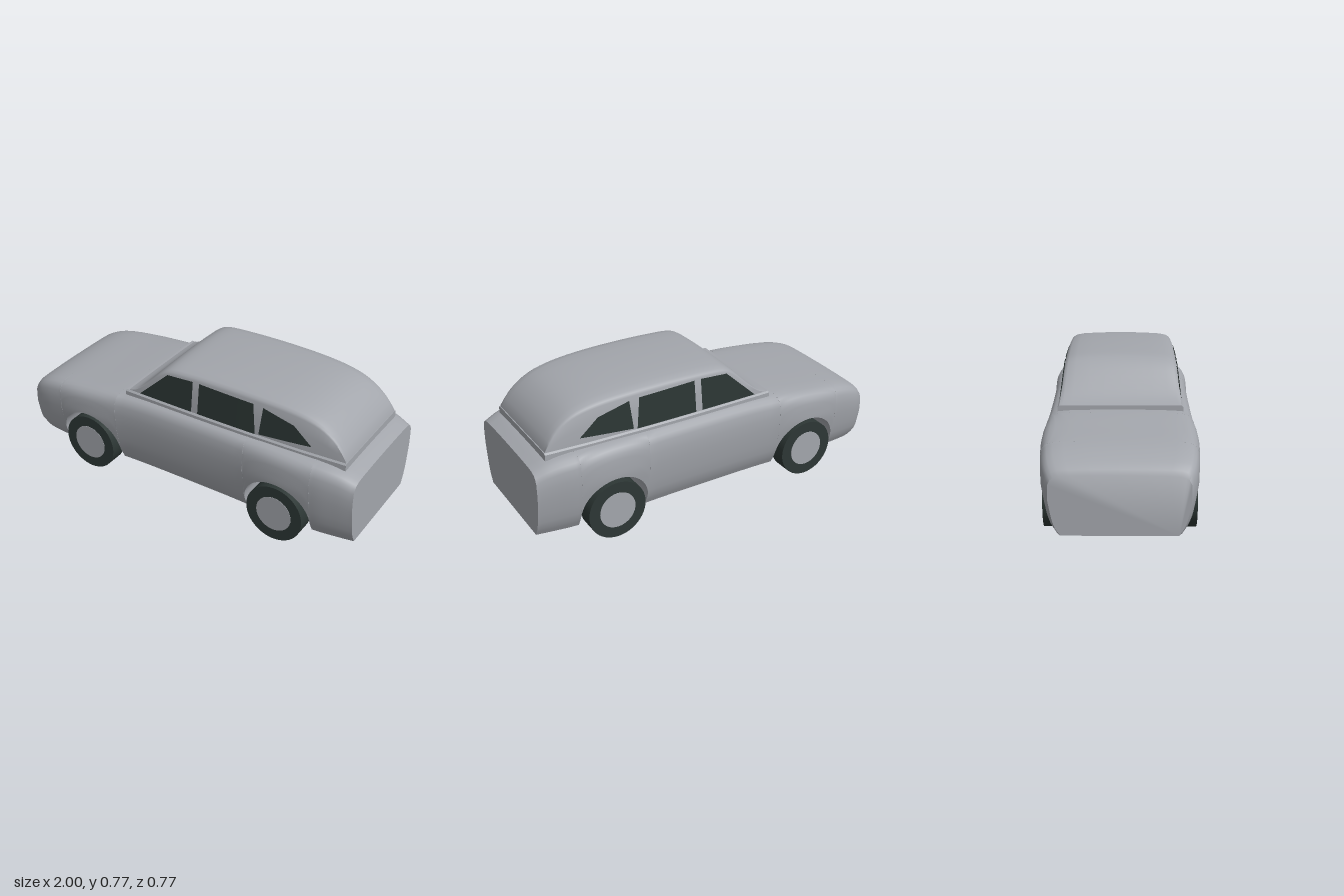
import * as THREE from 'three';
import { toCreasedNormals } from 'three/addons/utils/BufferGeometryUtils.js';

const paint = new THREE.MeshStandardMaterial({ name: 'greyPaint', color: 0xa3a6ac });
const rubber = new THREE.MeshStandardMaterial({ name: 'darkRubber', color: 0x2d3735 });
const glass = new THREE.MeshStandardMaterial({ name: 'darkGlass', color: 0x2a3432, side: THREE.DoubleSide });

// Smooth interpolation through [key, value] pairs
function curve(table, x) {
  const n = table.length;
  if (x <= table[0][0]) return table[0][1];
  if (x >= table[n - 1][0]) return table[n - 1][1];
  let i = 0;
  while (x > table[i + 1][0]) i++;
  const slope = (k) => {
    const a = table[Math.max(k - 1, 0)], b = table[Math.min(k + 1, n - 1)];
    return (b[1] - a[1]) / (b[0] - a[0]);
  };
  const [x0, y0] = table[i], [x1, y1] = table[i + 1];
  const d = x1 - x0, t = (x - x0) / d, u = 1 - t;
  return u * u * (1 + 2 * t) * y0 + t * t * (3 - 2 * t) * y1
    + d * t * u * (u * slope(i) - t * slope(i + 1));
}

// Skin over mirrored cross-sections: { x, half: [[z, y], ...] } from the bottom edge to the top centre
function loft(sections, crease) {
  const rings = sections.map(({ x, half }) => {
    const right = half.map(([z, y]) => new THREE.Vector3(x, y, z));
    const left = half.slice(0, -1).reverse().map(([z, y]) => new THREE.Vector3(x, y, -z));
    return [...right, ...left];
  });
  const pos = [];
  const tri = (a, b, c) => {
    if (new THREE.Triangle(a, b, c).getArea() > 1e-7) for (const p of [a, b, c]) pos.push(p.x, p.y, p.z);
  };
  const n = rings[0].length;
  for (let i = 0; i < rings.length - 1; i++) {
    for (let j = 0; j < n; j++) {
      const k = (j + 1) % n, p = rings[i], q = rings[i + 1];
      tri(p[j], q[j], q[k]);
      tri(p[j], q[k], p[k]);
    }
  }
  const first = rings[0], last = rings[rings.length - 1];
  for (let j = 1; j < n - 1; j++) {
    tri(first[0], first[j], first[j + 1]);
    tri(last[0], last[j + 1], last[j]);
  }
  const geo = new THREE.BufferGeometry();
  geo.setAttribute('position', new THREE.Float32BufferAttribute(pos, 3));
  return toCreasedNormals(geo, crease);
}

function addMesh(parent, name, geo, mat) {
  const mesh = new THREE.Mesh(geo, mat);
  mesh.name = name;
  parent.add(mesh);
  return mesh;
}

const AXLE_X = 0.59, AXLE_Y = 0.16, ARCH_R = 0.19, FLOOR = 0.1;

// Body: top line, plan width and side shape
const bodyTop = [[-1, 0.39], [-0.97, 0.425], [-0.9, 0.462], [-0.8, 0.487], [-0.6, 0.51], [-0.4, 0.53],
  [-0.2, 0.54], [0, 0.542], [0.4, 0.542], [0.7, 0.536], [0.85, 0.525], [0.93, 0.508], [1, 0.48]];
const bodyWidth = [[-1, 0.33], [-0.95, 0.355], [-0.85, 0.372], [-0.6, 0.385], [-0.3, 0.372], [0, 0.37],
  [0.3, 0.373], [0.6, 0.385], [0.8, 0.375], [0.92, 0.355], [1, 0.338]];
const bodySide = [[0, 0.83], [0.06, 0.865], [0.12, 0.9], [0.22, 0.935], [0.35, 0.962], [0.58, 1], [0.72, 1.002],
  [0.85, 0.995], [0.92, 0.965], [0.955, 0.92], [0.98, 0.84], [0.99, 0.7], [0.997, 0.4], [1, 0]];

function bodySection(x, bottom) {
  const H = curve(bodyTop, x), W = curve(bodyWidth, x);
  const s0 = (bottom - FLOOR) / (H - FLOOR);
  const half = bodySide.map(([key]) => {
    const s = s0 + (1 - s0) * key;
    return [key === 1 ? 0 : W * curve(bodySide, s), FLOOR + s * (H - FLOOR)];
  });
  return { x, half };
}

function bodyGeometry() {
  const sections = [];
  const span = (a, b, n) => {
    for (let i = 0; i <= n; i++) sections.push(bodySection(a + (b - a) * i / n, FLOOR));
  };
  // Wheel arch runs right through the body
  const arch = (cx) => {
    for (let i = 0; i <= 24; i++) {
      const a = Math.PI * (1 - i / 24);
      sections.push(bodySection(cx + ARCH_R * Math.cos(a), AXLE_Y + ARCH_R * Math.sin(a)));
    }
  };
  span(-1, -AXLE_X - ARCH_R, 12);
  arch(-AXLE_X);
  span(-AXLE_X + ARCH_R, AXLE_X - ARCH_R, 16);
  arch(AXLE_X);
  span(AXLE_X + ARCH_R, 1, 12);
  return loft(sections, 0.7);
}

// Cabin: roof line and leaning side walls
const BELT = 0.54;
const roofLine = [[-0.35, 0.552], [-0.3, 0.573], [-0.25, 0.617], [-0.2, 0.67], [-0.15, 0.722], [-0.1, 0.752],
  [0, 0.765], [0.25, 0.772], [0.5, 0.766], [0.65, 0.75], [0.75, 0.722], [0.82, 0.68], [0.88, 0.62], [0.92, 0.55]];
const beltWidth = [[-0.36, 0.312], [0, 0.316], [0.4, 0.314], [0.65, 0.303], [0.8, 0.29], [0.92, 0.278]];
const sideZ = (x, y) => curve(beltWidth, x) - 0.12 * (y - BELT);

function cabinGeometry() {
  const sections = [];
  for (let i = 0; i <= 50; i++) {
    const x = -0.35 + 1.27 * i / 50;
    const h = curve(roofLine, x) - BELT;
    const at = (f, k) => [sideZ(x, BELT + f * h) * k, BELT + f * h];
    sections.push({ x, half: [[sideZ(x, BELT), 0.5], at(0, 1), at(0.45, 1), at(0.83, 1), at(0.89, 0.985),
      at(0.93, 0.94), at(0.965, 0.8), at(0.985, 0.55), at(0.997, 0.28), at(1, 0)] });
  }
  return loft(sections, 0.75);
}

// Thin ledge round the foot of the cabin
function ledgeGeometry() {
  const sections = [];
  for (let i = 0; i <= 24; i++) {
    const x = -0.36 + 1.285 * i / 24;
    const z = curve(beltWidth, x) + 0.008;
    const top = x < 0.5 ? 0.553 : 0.553 - 0.02 * (x - 0.5);
    sections.push({ x, half: [[z, 0.505], [z, top - 0.008], [z - 0.008, top], [0, top]] });
  }
  return loft(sections, 0.6);
}

// Window pane: four [x, y] corners laid on the cabin side
function paneGeometry(corners, side) {
  const [bl, br, tr, tl] = corners;
  const geo = new THREE.PlaneGeometry(1, 1, 8, 4);
  const p = geo.attributes.position;
  const mix = THREE.MathUtils.lerp;
  for (let i = 0; i < p.count; i++) {
    const u = p.getX(i) + 0.5, v = p.getY(i) + 0.5;
    const x = mix(mix(bl[0], br[0], u), mix(tl[0], tr[0], u), v);
    const y = mix(mix(bl[1], br[1], u), mix(tl[1], tr[1], u), v);
    p.setXYZ(i, x, y, side * (sideZ(x, y) + 0.005));
  }
  if (side < 0) geo.index.array.reverse();
  geo.computeVertexNormals();
  return geo;
}

const panes = {
  frontWindow: [[-0.27, 0.557], [0.056, 0.557], [0.056, 0.726], [-0.1, 0.716]],
  middleWindow: [[0.094, 0.557], [0.435, 0.557], [0.412, 0.717], [0.094, 0.726]],
  rearWindow: [[0.455, 0.562], [0.742, 0.582], [0.64, 0.668], [0.468, 0.712]],
};

function makeWheel(name, x, z) {
  const wheel = new THREE.Group();
  wheel.name = name;
  addMesh(wheel, 'tyre', new THREE.CylinderGeometry(0.16, 0.16, 0.1, 48), rubber);
  addMesh(wheel, 'hub', new THREE.CylinderGeometry(0.1, 0.1, 0.104, 40), paint);
  wheel.rotation.x = Math.PI / 2;
  wheel.position.set(x, AXLE_Y, z);
  return wheel;
}

export function createModel() {
  const car = new THREE.Group();
  car.name = 'car';
  addMesh(car, 'body', bodyGeometry(), paint);
  addMesh(car, 'cabin', cabinGeometry(), paint);
  addMesh(car, 'cabinLedge', ledgeGeometry(), paint);
  for (const side of [1, -1]) {
    for (const [name, corners] of Object.entries(panes)) addMesh(car, name, paneGeometry(corners, side), glass);
    car.add(makeWheel('frontWheel', -AXLE_X, side * 0.325));
    car.add(makeWheel('rearWheel', AXLE_X, side * 0.325));
  }
  return car;
}
